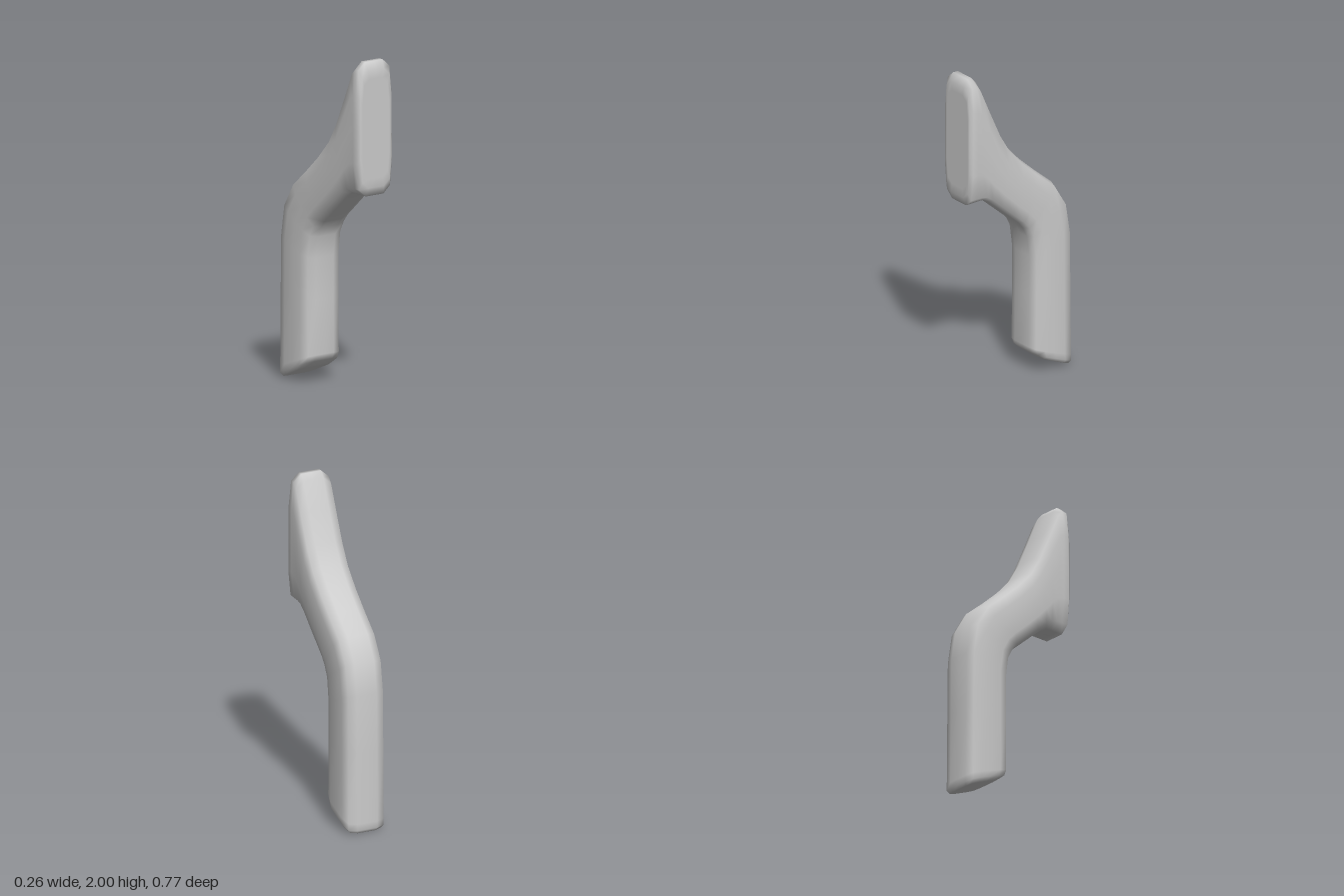
import * as THREE from 'three';

// Stations along the arm: [lower/front z, y, upper/back z, y, half width]
const STATIONS = [
  [0.385, 1.25, 0.383, 1.95, 0.115],
  [0.37, 1.2, 0.362, 2.0, 0.13],
  [0.33, 1.2, 0.33, 2.0, 0.13],
  [0.29, 1.2, 0.3, 1.965, 0.13],
  [0.25, 1.2, 0.23, 1.8, 0.13],
  [0.21, 1.18, 0.15, 1.62, 0.13],
  [0.14, 1.12, 0.08, 1.5, 0.13],
  [0.06, 1.05, -0.02, 1.39, 0.13],
  [-0.02, 0.98, -0.13, 1.29, 0.13],
  [-0.05, 0.94, -0.26, 1.18, 0.13],
  [-0.08, 0.88, -0.345, 1.04, 0.13],
  [-0.097, 0.75, -0.376, 0.85, 0.13],
  [-0.097, 0.5, -0.38, 0.5, 0.13],
  [-0.093, 0.17, -0.385, 0.06, 0.13],
  [-0.11, 0.13, -0.385, 0.02, 0.13],
  [-0.16, 0.09, -0.37, 0.0, 0.112],
];

// Rounded cross-section: [fraction of half width, fraction from lower to upper]
const SECTION = [
  [1, 0.25], [1, 0.5], [1, 0.75], [0.88, 0.945], [0.5, 1], [0, 1],
  [-0.5, 1], [-0.88, 0.945], [-1, 0.75], [-1, 0.5], [-1, 0.25],
  [-0.88, 0.055], [-0.5, 0], [0, 0], [0.5, 0], [0.88, 0.055],
];

// Station shrunk about its middle, used to keep the end faces flat
function shrink([z0, y0, z1, y1, w], s) {
  const mix = (a, b) => (a + b) / 2 + ((a - b) / 2) * s;
  return [mix(z0, z1), mix(y0, y1), mix(z1, z0), mix(y1, y0), w * s];
}

function loft(stations) {
  const n = SECTION.length;
  const pos = [];
  const index = [];
  for (const [z0, y0, z1, y1, w] of stations) {
    for (const [u, t] of SECTION) pos.push(u * w, y0 + (y1 - y0) * t, z0 + (z1 - z0) * t);
  }
  // Skin between neighbouring sections
  for (let i = 0; i < stations.length - 1; i++) {
    for (let j = 0; j < n; j++) {
      const a = i * n + j;
      const b = i * n + ((j + 1) % n);
      index.push(a, a + n, b, b, a + n, b + n);
    }
  }
  // End faces
  const last = stations.length - 1;
  for (const i of [0, last]) {
    const [z0, y0, z1, y1] = stations[i];
    const c = pos.length / 3;
    pos.push(0, (y0 + y1) / 2, (z0 + z1) / 2);
    for (let j = 0; j < n; j++) {
      const a = i * n + j;
      const b = i * n + ((j + 1) % n);
      if (i === 0) index.push(c, a, b);
      else index.push(c, b, a);
    }
  }
  const geo = new THREE.BufferGeometry();
  geo.setAttribute('position', new THREE.Float32BufferAttribute(pos, 3));
  geo.setIndex(index);
  geo.computeVertexNormals();
  return geo;
}

export function createModel() {
  const group = new THREE.Group();
  group.name = 'bentArm';
  const end = STATIONS[STATIONS.length - 1];
  // Flared head, sloping neck and straight leg in one smooth skin
  const arm = new THREE.Mesh(
    loft([shrink(STATIONS[0], 0.85), ...STATIONS, shrink(end, 0.8)]),
    new THREE.MeshStandardMaterial({ color: 0xcccccc }),
  );
  arm.name = 'arm';
  group.add(arm);
  return group;
}
